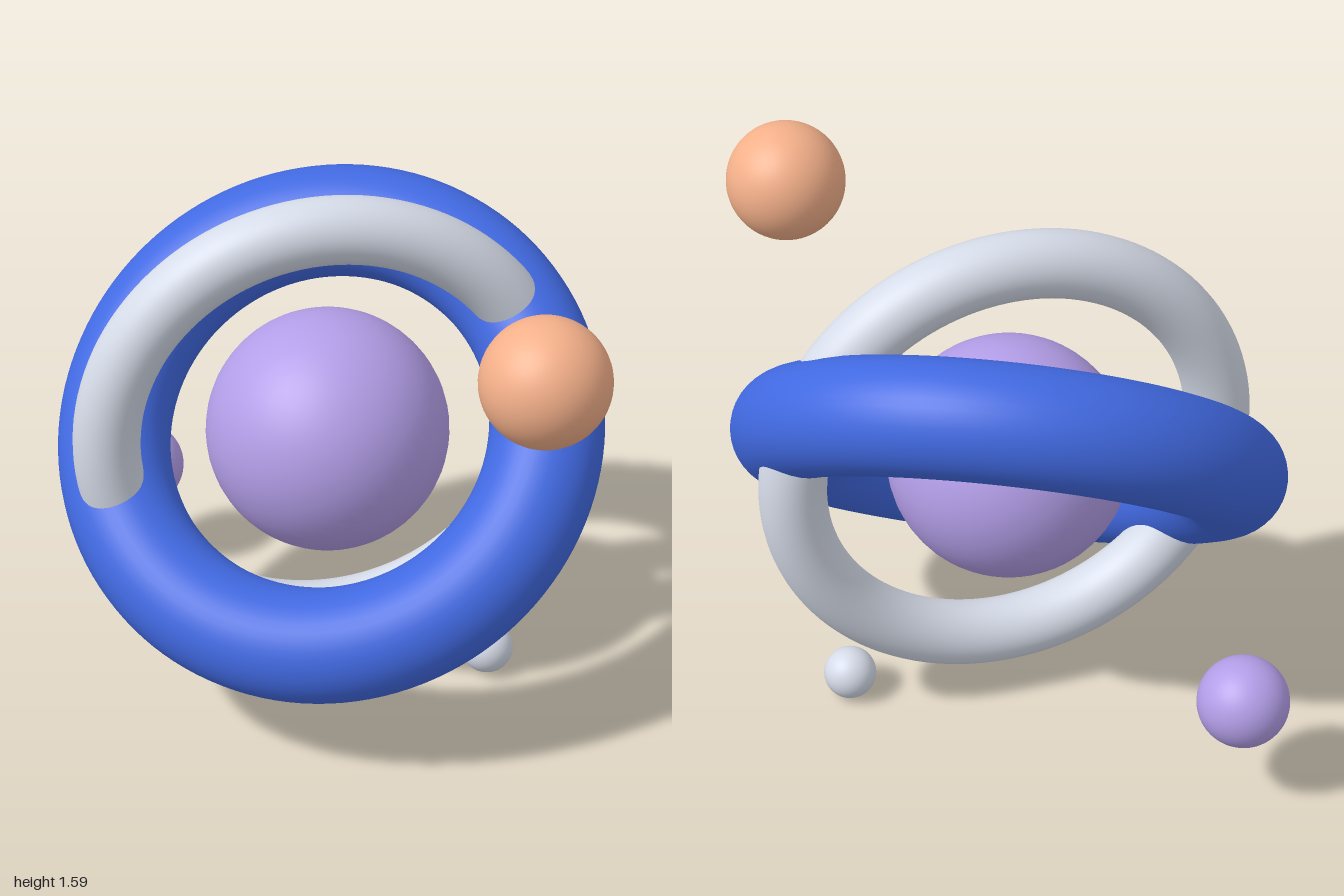
import * as THREE from 'three';

const CENTER = new THREE.Vector3(-0.04, 0.85, 0);
const COLORS = { blue: 0x4169e1, purple: 0xb39ee8, orange: 0xf4b08a, silver: 0xd5dbe8 };

function addPart(group, name, geometry, color, position) {
  const mesh = new THREE.Mesh(geometry, new THREE.MeshStandardMaterial({ color }));
  mesh.name = name;
  mesh.position.copy(position);
  group.add(mesh);
  return mesh;
}

// Ring around the core, facing along the given axis
function addRing(group, name, radius, tube, color, axis) {
  const ring = addPart(group, name, new THREE.TorusGeometry(radius, tube, 40, 128), color, CENTER);
  ring.quaternion.setFromUnitVectors(new THREE.Vector3(0, 0, 1), axis.normalize());
}

function addBall(group, name, radius, color, position) {
  addPart(group, name, new THREE.SphereGeometry(radius, 48, 32), color, position);
}

export function createModel() {
  const model = new THREE.Group();
  model.name = 'orbitalRings';

  // Core and the two interlocking rings
  addBall(model, 'core', 0.353, COLORS.purple, CENTER);
  addRing(model, 'thickRing', 0.64, 0.165, COLORS.blue, new THREE.Vector3(0.215, 0.719, 0.661));
  addRing(model, 'thinRing', 0.642, 0.097, COLORS.silver, new THREE.Vector3(1, 0, 1));

  // Satellites
  addBall(model, 'largeSatellite', 0.176, COLORS.orange, new THREE.Vector3(0.82, 1.405, 0.245));
  addBall(model, 'mediumSatellite', 0.133, COLORS.purple, new THREE.Vector3(-0.867, 0.36, -0.155));
  addBall(model, 'smallSatellite', 0.079, COLORS.silver, new THREE.Vector3(0.358, 0.08, -0.272));

  return model;
}
